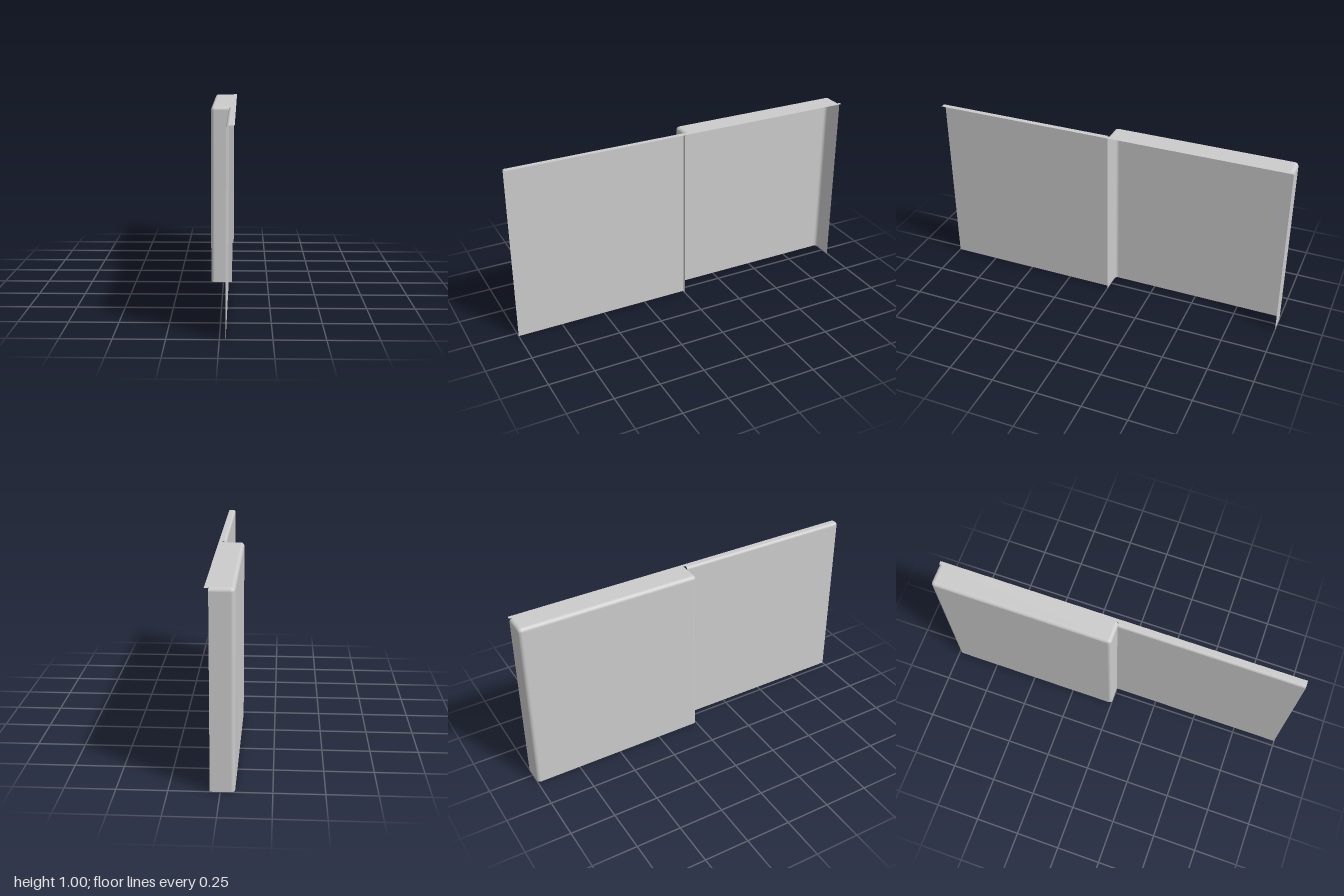
import * as THREE from 'three';

const R = 0.02;        // fillet of the pressed panel
const ARC = 6;         // segments per fillet

// Sheet from a grid of [position, normal] pairs; i runs along, j runs up
function sheet(cols, rows, at) {
  const pos = [], nor = [], index = [];
  for (let j = 0; j < rows; j++) {
    for (let i = 0; i < cols; i++) {
      const [p, n] = at(i, j);
      pos.push(...p);
      nor.push(...n);
      if (i < cols - 1 && j < rows - 1) {
        const a = j * cols + i, b = a + 1, c = a + cols, d = c + 1;
        index.push(a, c, b, b, c, d);
      }
    }
  }
  const g = new THREE.BufferGeometry();
  g.setAttribute('position', new THREE.Float32BufferAttribute(pos, 3));
  g.setAttribute('normal', new THREE.Float32BufferAttribute(nor, 3));
  g.setIndex(index);
  return g;
}

// Flat horizontal plate between two x and two z limits
function plate(x0, x1, z0, z1) {
  const g = new THREE.PlaneGeometry(x1 - x0, z1 - z0).rotateX(-Math.PI / 2);
  return g.translate((x0 + x1) / 2, 1, (z0 + z1) / 2);
}

export function createModel() {
  const group = new THREE.Group();
  const grey = new THREE.MeshStandardMaterial({ color: 0xcccccc, side: THREE.DoubleSide });
  grey.name = 'light grey';
  const add = (name, geometry) => {
    const mesh = new THREE.Mesh(geometry, grey);
    mesh.name = name;
    group.add(mesh);
  };

  // Raised panel: U-shaped plan, as fillet centre plus outward normal
  const plan = [{ c: [0.05, -R], n: [0, 1] }];
  for (const [z, start] of [[-R, 0], [-1 + R, 1]]) {
    for (let k = 0; k <= ARC; k++) {
      const t = (start + k / ARC) * Math.PI / 2;
      plan.push({ c: [-0.07 + R, z], n: [-Math.sin(t), Math.cos(t)] });
    }
  }
  plan.push({ c: [0.05, -1 + R], n: [0, -1] });

  // Its walls rise straight, then roll over into the top
  add('raisedPanel', sheet(plan.length, ARC + 2, (i, j) => {
    const { c, n } = plan[i];
    const t = Math.max(0, j - 1) / ARC * Math.PI / 2;
    const out = Math.cos(t), up = Math.sin(t);
    return [
      [c[0] + R * out * n[0], j === 0 ? 0 : 1 - R + R * up, c[1] + R * out * n[1]],
      [n[0] * out, up, n[1] * out],
    ];
  }));
  add('raisedPanelTop', plate(-0.07 + R, 0.05, -1 + R, -R));
  add('raisedPanelLip', plate(0.05, 0.07, -1, 0));

  // Flush panel: flat wall with a rolled top edge
  const r = 0.015;
  const profile = [[0.03, 0, -1, 0]];
  for (let k = 0; k <= ARC; k++) {
    const t = k / ARC * Math.PI / 2;
    profile.push([0.03 + r - r * Math.cos(t), 1 - r + r * Math.sin(t), -Math.cos(t), Math.sin(t)]);
  }
  profile.push([0.07, 1, 0, 1]);
  add('flushPanel', sheet(2, profile.length, (i, j) => {
    const [x, y, nx, ny] = profile[j];
    return [[x, y, 1 - i], [nx, ny, 0]];
  }));

  return group;
}
